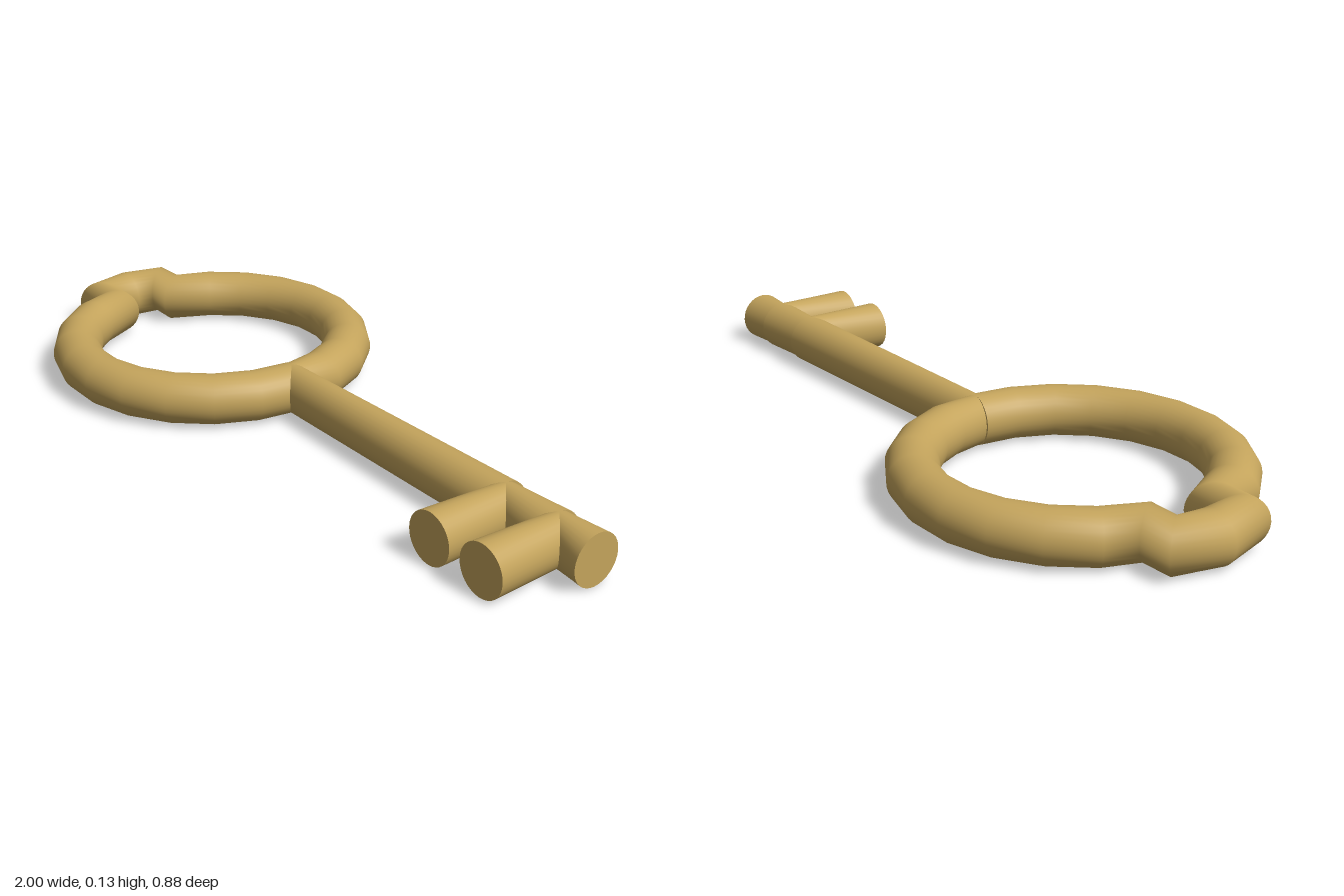
import * as THREE from 'three';

const R = 0.066, Y = 0.067, SIDES = 32;
const brass = new THREE.MeshStandardMaterial({ color: 0xc4a45c });

// Sweeps a round rod along flat [x, z] points; each bend gets a disc on its bisector.
// startDir / endDir optionally tilt the first and last disc.
function rod(name, path, startDir, endDir) {
  const pts = path.map(([x, z]) => new THREE.Vector2(x, z));
  const last = pts.length - 1;
  const dir = i => pts[i + 1].clone().sub(pts[i]).normalize();
  const pos = [], index = [];
  const disc = (p, t) => {
    for (let j = 0; j < SIDES; j++) {
      const a = (j / SIDES) * Math.PI * 2, c = R * Math.cos(a);
      pos.push(p.x - t.y * c, Y + R * Math.sin(a), p.y + t.x * c);
    }
  };
  const tangents = pts.map((p, i) => {
    if (i === 0) return startDir ? new THREE.Vector2(...startDir).normalize() : dir(0);
    if (i === last) return endDir ? new THREE.Vector2(...endDir).normalize() : dir(last - 1);
    return dir(i - 1).add(dir(i)).normalize();
  });
  pts.forEach((p, i) => disc(p, tangents[i]));
  for (let i = 0; i < last; i++) {
    for (let j = 0; j < SIDES; j++) {
      const a = i * SIDES + j, b = i * SIDES + (j + 1) % SIDES;
      index.push(a, a + SIDES, b, b, a + SIDES, b + SIDES);
    }
  }
  // flat end caps with their own vertices
  for (const end of [0, last]) {
    const base = pos.length / 3;
    disc(pts[end], tangents[end]);
    for (let j = 1; j < SIDES - 1; j++) {
      if (end === 0) index.push(base, base + j, base + j + 1);
      else index.push(base, base + j + 1, base + j);
    }
  }
  const geo = new THREE.BufferGeometry();
  geo.setAttribute('position', new THREE.Float32BufferAttribute(pos, 3));
  geo.setIndex(index);
  geo.computeVertexNormals();
  const mesh = new THREE.Mesh(geo, brass);
  mesh.name = name;
  return mesh;
}

export function createModel() {
  const key = new THREE.Group();
  key.name = 'key';

  // bow: two half arcs joined by a small squared loop at the far end
  const joint = [-0.09, 0], steps = 10, arc = [];
  for (let i = 0; i <= steps; i++) {
    const a = (i / steps) * THREE.MathUtils.degToRad(164.7);
    arc.push([-0.468 + 0.378 * Math.cos(a), 0.378 * Math.sin(a)]);
  }
  const half = [...arc, [-0.915, 0.1]];
  const mirrored = half.map(([x, z]) => [x, -z]).reverse();
  key.add(rod('bowRing', [...half, [-0.935, 0], ...mirrored], null, [1, 1]));

  // shaft: three lengths that meet at the teeth
  const teeth = [0.72, 0.885];
  key.add(rod('shaft', [joint, [teeth[0], 0]], [1, 1]));
  key.add(rod('shaftBetweenTeeth', [[teeth[0], 0], [teeth[1], 0]], [1, -1]));
  key.add(rod('shaftTip', [[teeth[1], 0], [1, 0]], [1, -1]));

  // teeth
  teeth.forEach((x, i) => key.add(rod('tooth' + (i + 1), [[x, 0], [x, 0.225]], [1, 1])));

  return key;
}
